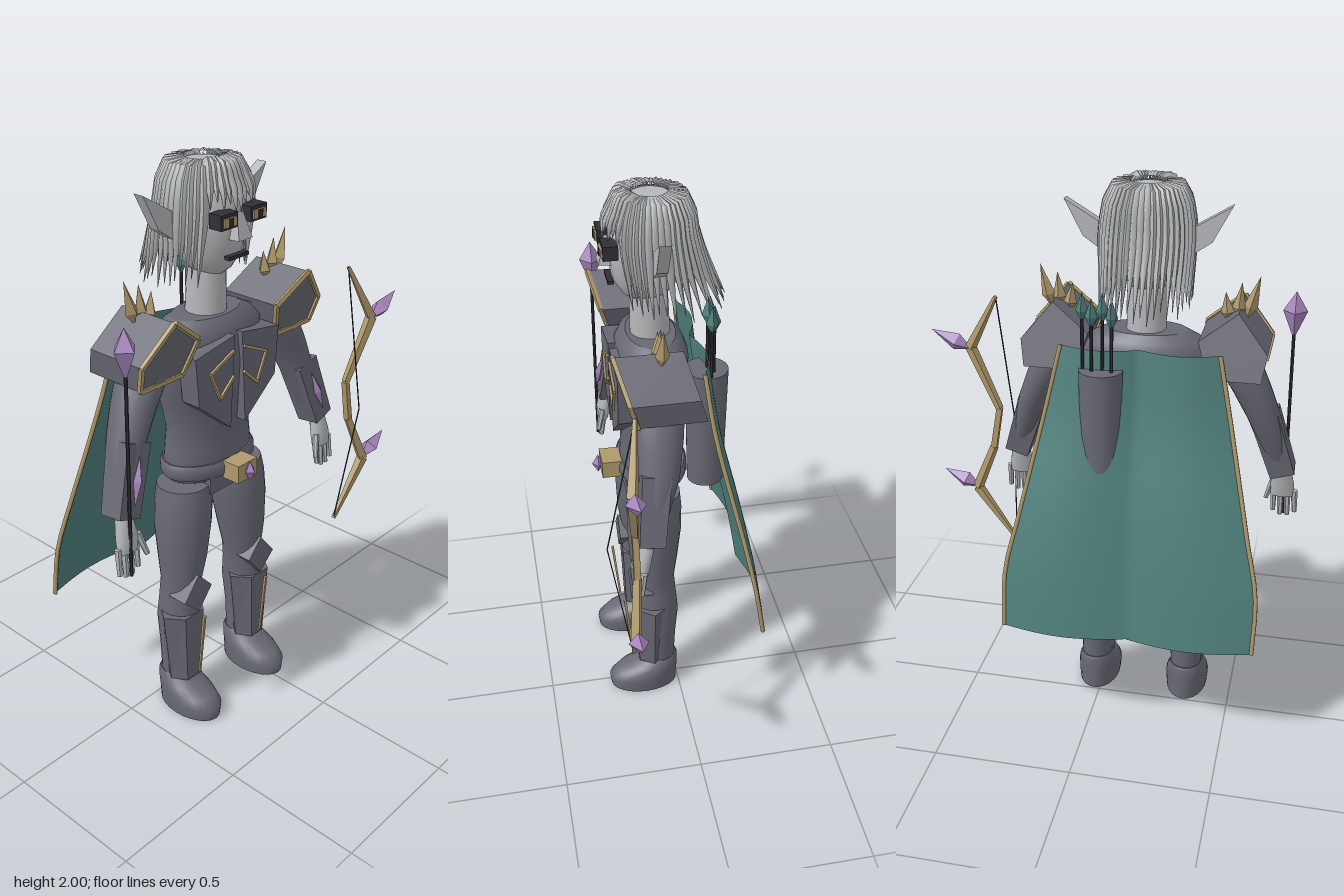
import * as THREE from 'three';

const M = {};
for (const [name, color] of Object.entries({
  armor: 0x696975, skin: 0xb6b8bb, hair: 0xb2b5b7, cape: 0x4f7f7b, gold: 0xb09a6c, crystal: 0xa886bf, dark: 0x303036
})) { M[name] = new THREE.MeshStandardMaterial({ color }); M[name].name = name; }
M.cape.side = THREE.DoubleSide;

const V = (x, y, z) => new THREE.Vector3(x, y, z);

function add(parent, name, geo, mat, x = 0, y = 0, z = 0) {
  const m = new THREE.Mesh(geo, mat);
  m.name = name;
  m.position.set(x, y, z);
  parent.add(m);
  return m;
}

function flat(geo) {
  const g = geo.index ? geo.toNonIndexed() : geo;
  g.computeVertexNormals();
  return g;
}

// Smooth skin over elliptical rings [x, y, z, rx, rz], listed from bottom to top
function loft(rings, sides = 24) {
  const pos = [], idx = [];
  const first = rings[0], last = rings[rings.length - 1];
  const all = [[...first.slice(0, 3), 0, 0], first, ...rings, last, [...last.slice(0, 3), 0, 0]];
  all.forEach(([x, y, z, rx, rz], i) => {
    for (let j = 0; j < sides; j++) {
      const a = j / sides * Math.PI * 2;
      pos.push(x + rx * Math.cos(a), y, z + rz * Math.sin(a));
      if (i === all.length - 1) continue;
      const p = i * sides + j, q = i * sides + (j + 1) % sides;
      // rings 1 and 2 (and the matching top pair) coincide to keep the rim crisp
      if (i !== 1 && i !== all.length - 3) idx.push(p, p + sides, q, q, p + sides, q + sides);
    }
  });
  const g = new THREE.BufferGeometry();
  g.setAttribute('position', new THREE.Float32BufferAttribute(pos, 3));
  g.setIndex(idx);
  g.computeVertexNormals();
  return g;
}

// Moves a geometry that runs along y so it runs from a to b
function between(geo, a, b) {
  const d = b.clone().sub(a);
  geo.applyQuaternion(new THREE.Quaternion().setFromUnitVectors(V(0, 1, 0), d.normalize()));
  return geo.translate((a.x + b.x) / 2, (a.y + b.y) / 2, (a.z + b.z) / 2);
}
const rod = (a, b, r1, r2 = r1, sides = 6) =>
  between(flat(new THREE.CylinderGeometry(r2, r1, a.distanceTo(b), sides, 1, false, Math.PI / 4)), a, b);

// Double pyramid from a to b, widest at the given fraction
function gem(a, b, r, wide = 0.4, sides = 4) {
  const L = a.distanceTo(b);
  const pts = [[0, -L / 2], [r, L * (wide - 0.5)], [0, L / 2]].map(p => new THREE.Vector2(...p));
  return between(flat(new THREE.LatheGeometry(pts, sides)), a, b);
}

// Plate cut from corner points in x, y
function plate(points, z, depth) {
  const s = new THREE.Shape(points.map(p => new THREE.Vector2(...p)));
  return new THREE.ExtrudeGeometry(s, { depth, bevelEnabled: false }).translate(0, 0, z);
}

// Tube narrowing by a rule r(t)
function strand(points, r, sides = 5, steps = 8) {
  const curve = new THREE.CatmullRomCurve3(points);
  const g = new THREE.TubeGeometry(curve, steps, 1, sides), p = g.attributes.position, v = V(0, 0, 0);
  for (let i = 0; i < p.count; i++) {
    const t = Math.floor(i / (sides + 1)) / steps, c = curve.getPointAt(t);
    v.fromBufferAttribute(p, i).sub(c).multiplyScalar(r(t)).add(c);
    p.setXYZ(i, v.x, v.y, v.z);
  }
  g.computeVertexNormals();
  return g;
}

function buildHead(body) {
  const g = new THREE.Group(); g.name = 'head'; body.add(g);
  add(g, 'skull', loft([[0, 1.62, .08, .04, .05], [0, 1.64, .075, .07, .08], [0, 1.69, .07, .1, .115], [0, 1.76, .065, .118, .132],
    [0, 1.83, .06, .125, .137], [0, 1.89, .055, .12, .13], [0, 1.94, .055, .1, .105], [0, 1.97, .055, .065, .065]]), M.skin);
  add(g, 'neck', loft([[0, 1.44, .06, .07, .07], [0, 1.66, .065, .062, .065]]), M.skin);
  add(g, 'nose', rod(V(0, 1.75, .2), V(0, 1.835, .195), .045, .018, 4), M.skin);
  add(g, 'mouth', new THREE.BoxGeometry(.09, .012, .02), M.dark, 0, 1.693, .195);
  for (const s of [-1, 1]) {
    add(g, 'eyeSocket', new THREE.BoxGeometry(.075, .048, .05), M.dark, s * .067, 1.822, .2);
    add(g, 'iris', new THREE.BoxGeometry(.056, .028, .008), M.gold, s * .067, 1.82, .228);
    add(g, 'pupil', new THREE.BoxGeometry(.018, .028, .008), M.dark, s * .067, 1.82, .231);
    add(g, 'ear', plate([[.278, 1.915], [.215, 1.795], [.15, 1.75], [.11, 1.75], [.11, 1.84], [.16, 1.845]].map(([x, y]) => [s * x, y]), .035, .038), M.skin);
  }
  // Locks fan out from a ring on the crown: short in front, long at sides and back
  const n = 46;
  for (let i = 0; i < n; i++) {
    const a = (i / n) * Math.PI * 2, sx = Math.sin(a), cz = Math.cos(a), front = cz > .7;
    const jit = (i * 7 % 5) / 5 * .05, back = Math.max(0, -cz);
    const at = (r, y) => V(sx * r, y, .055 + cz * r);
    const pts = [at(.062, 1.975), at(.095, 1.982), at(.128, 1.93)];
    if (front) pts.push(at(.15, 1.9), at(.158, 1.835 + jit));
    else pts.push(at(.145, 1.84), V(sx * .155, 1.57 + jit + (cz > 0 ? .03 : 0), .045 + cz * .13 - back * .11));
    add(g, 'hairLock', strand(pts, t => .019 * Math.min(1, .6 + t * 2) * (t > .45 ? (1 - t) / .55 * .95 + .05 : 1)), M.hair);
  }
}

function buildTorso(body) {
  add(body, 'torso', loft([[0, .91, .065, .17, .105], [0, .95, .065, .185, .115], [0, 1.02, .065, .178, .11], [0, 1.1, .065, .17, .105],
    [0, 1.2, .065, .195, .115], [0, 1.33, .065, .228, .128], [0, 1.42, .06, .232, .125], [0, 1.46, .06, .19, .11], [0, 1.485, .06, .14, .085]], 32), M.armor);
  add(body, 'belt', loft([[0, .925, .065, .186, .12], [0, .94, .065, .194, .128], [0, .965, .065, .194, .128], [0, .98, .065, .186, .12]], 32), M.armor);
  add(body, 'hipGuard', new THREE.BoxGeometry(.195, .07, .16), M.armor, 0, .9, .09);
  add(body, 'buckle', new THREE.BoxGeometry(.095, .065, .07), M.gold, 0, .95, .215);
  add(body, 'buckleGem', gem(V(0, .915, .26), V(0, .99, .26), .022, .5), M.crystal);
  for (const s of [-1, 1]) {
    add(body, 'chestPlate', plate([[.018, 1.435], [.2, 1.405], [.185, 1.235], [.035, 1.11]].map(([x, y]) => [s * x, y]), .13, .075), M.armor);
    const t = [[.025, 1.385], [.135, 1.335], [.09, 1.235], [.025, 1.295]].map(([x, y]) => V(s * x, y, .208));
    for (let i = 0; i < 3; i++) add(body, 'chestTrim', rod(t[i], t[i + 1], .007, .007, 4), M.gold);
  }
}

function buildArm(body, s) {
  const g = new THREE.Group(); g.name = s > 0 ? 'leftArm' : 'rightArm'; body.add(g);
  const P = (x, y, z) => V(s * x, y, z);
  add(g, 'sleeve', loft([[.485, .95, .155, .035, .035], [.45, 1.06, .13, .052, .055], [.415, 1.17, .105, .06, .068], [.365, 1.28, .095, .07, .08],
    [.3, 1.4, .085, .085, .088], [.26, 1.46, .08, .07, .07]].map(([x, ...r]) => [s * x, ...r]), 20), M.armor);
  add(g, 'bracer', rod(P(.49, .95, .15), P(.415, 1.18, .12), .062, .07, 4), M.armor);
  add(g, 'bracerGem', gem(P(.474, .995, .2), P(.424, 1.15, .178), .018, .5), M.crystal);

  // Shoulder guard leaning forward, with gold rim and spikes
  const lean = y => (y - 1.45) * .3;
  const c = [[.315, 1.57], [.188, 1.475], [.225, 1.355], [.405, 1.355], [.42, 1.445]];
  const geo = plate(c.map(([x, y]) => [s * x, y]), -.03, .225), p = geo.attributes.position;
  for (let i = 0; i < p.count; i++) p.setZ(i, p.getZ(i) + lean(p.getY(i)));
  geo.computeVertexNormals();
  add(g, 'shoulderGuard', geo, M.armor);
  c.forEach(([x, y], i) => {
    const [x2, y2] = c[(i + 1) % 5];
    add(g, 'shoulderTrim', rod(P(x, y, .197 + lean(y)), P(x2, y2, .197 + lean(y2)), .01, .01, 4), M.gold);
  });
  for (const [x1, y1, x2, y2] of [[.335, 1.53, .375, 1.68], [.305, 1.53, .315, 1.655], [.275, 1.52, .262, 1.62]])
    add(g, 'shoulderSpike', gem(P(x1, y1, .08), P(x2, y2, .08), .024, .3), M.gold);

  // Hand
  add(g, 'palm', loft([[.492, .84, .18, .042, .022], [.49, .89, .175, .042, .028], [.487, .96, .16, .03, .028]].map(([x, ...r]) => [s * x, ...r]), 14), M.skin);
  for (let i = 0; i < 4; i++)
    add(g, 'finger', rod(P(.46 + i * .025, .86, .18), P(.462 + i * .026, .755 + (i % 3 === 0 ? .015 : 0), .19), .0125, .009), M.skin);
  add(g, 'thumb', rod(P(.455, .89, .185), P(.433, .81, .205), .013, .009), M.skin);
}

function buildLeg(body, s) {
  const g = new THREE.Group(); g.name = s > 0 ? 'leftLeg' : 'rightLeg'; body.add(g);
  const mir = r => r.map(([x, ...q]) => [s * x, ...q]);
  add(g, 'leg', loft(mir([[.175, .1, .075, .056, .06], [.175, .25, .08, .06, .072], [.172, .37, .08, .07, .083], [.167, .46, .08, .066, .075],
    [.16, .53, .085, .07, .075], [.152, .63, .085, .085, .09], [.143, .75, .08, .1, .1], [.135, .84, .078, .1, .1], [.132, .9, .075, .092, .092]]), 24), M.armor);
  add(g, 'boot', loft(mir([[.175, 0, .135, .077, .13], [.175, .045, .137, .081, .133], [.175, .075, .12, .079, .118], [.175, .1, .092, .073, .09],
    [.175, .13, .07, .064, .068], [.175, .14, .068, .058, .06]]), 24), M.armor);
  // Faceted greave, knee cap and gold rib
  const shin = loft(mir([[.175, .13, .1, .062, .062], [.175, .41, .1, .092, .072]]), 6);
  add(g, 'greave', flat(shin), M.armor);
  add(g, 'kneeCap', plate([[.165, .575], [.1, .505], [.165, .425], [.235, .49]].map(([x, y]) => [s * x, y]), .1, .075), M.armor).rotation.x = 0;
  add(g, 'greaveRib', rod(V(s * .165, .16, .175), V(s * .165, .415, .2), .005, .007, 4), M.gold);
}

function buildCape(body) {
  const spine = new THREE.CatmullRomCurve3([V(0, 1.45, -.075), V(0, 1.2, -.11), V(0, .9, -.18), V(0, .64, -.235), V(0, .435, -.27)]);
  const at = (u, v) => {
    const c = spine.getPointAt(v), half = .27 + .175 * Math.min(1, v / .8);
    return V(u * half, c.y, c.z - .035 * Math.sin(Math.PI * Math.abs(u)));
  };
  const geo = new THREE.PlaneGeometry(2, 1, 28, 14), p = geo.attributes.position;
  for (let i = 0; i < p.count; i++) {
    const q = at(p.getX(i), .5 - p.getY(i));
    p.setXYZ(i, q.x, q.y, q.z);
  }
  geo.computeVertexNormals();
  add(body, 'cape', geo, M.cape);
  for (const s of [-1, 1]) {
    const edge = new THREE.CatmullRomCurve3([0, .2, .4, .6, .8, 1].map(v => at(s, v)));
    add(body, 'capeTrim', new THREE.TubeGeometry(edge, 16, .008, 6), M.gold);
  }
}

function buildWeapons(body) {
  // Quiver and its arrows
  add(body, 'quiver', new THREE.CylinderGeometry(.075, .065, .45, 20), M.armor, .123, 1.16, -.112);
  for (let i = 0; i < 4; i++) {
    const x = .083 + i * .034, z = -.13 + (i % 2) * .015, h = (i % 2) * .015;
    add(body, 'arrowShaft', rod(V(x, 1.37, z), V(x, 1.58, z), .006), M.dark);
    add(body, 'arrowFletching', gem(V(x, 1.53 + h, z), V(x, 1.635 + h, z), .022), M.cape);
  }
  // Arrow held in the right hand
  add(body, 'heldShaft', rod(V(-.5, .755, .2), V(-.49, 1.45, .2), .006), M.dark);
  add(body, 'heldArrowhead', gem(V(-.49, 1.43, .2), V(-.49, 1.6, .2), .042, .6), M.crystal);
  // Bow with angular limbs, crystal points and a drawn string
  const b = [[.579, 1.51, .205], [.692, 1.3, .235], [.583, 1.07, .215], [.61, .91, .215], [.69, .72, .235], [.537, .51, .225]].map(q => V(...q));
  const r = [.008, .021, .015, .016, .021, .008];
  for (let i = 0; i < 5; i++) add(body, 'bowLimb', rod(b[i], b[i + 1], r[i], r[i + 1], 4), M.gold);
  add(body, 'bowCrystal', gem(V(.685, 1.29, .235), V(.84, 1.36, .232), .034), M.crystal);
  add(body, 'bowCrystal', gem(V(.68, .72, .235), V(.822, .787, .232), .034), M.crystal);
  const nock = V(.553, 1, .303);
  for (const tip of [b[0], b[5]]) add(body, 'bowString', rod(tip, nock, .0025, .0025, 4), M.dark);
}

export function createModel() {
  const model = new THREE.Group(); model.name = 'elfArcher';
  const body = new THREE.Group(); body.name = 'figure';
  body.position.x = -.153;
  model.add(body);
  buildHead(body);
  buildTorso(body);
  for (const s of [-1, 1]) { buildArm(body, s); buildLeg(body, s); }
  buildCape(body);
  buildWeapons(body);
  return model;
}
